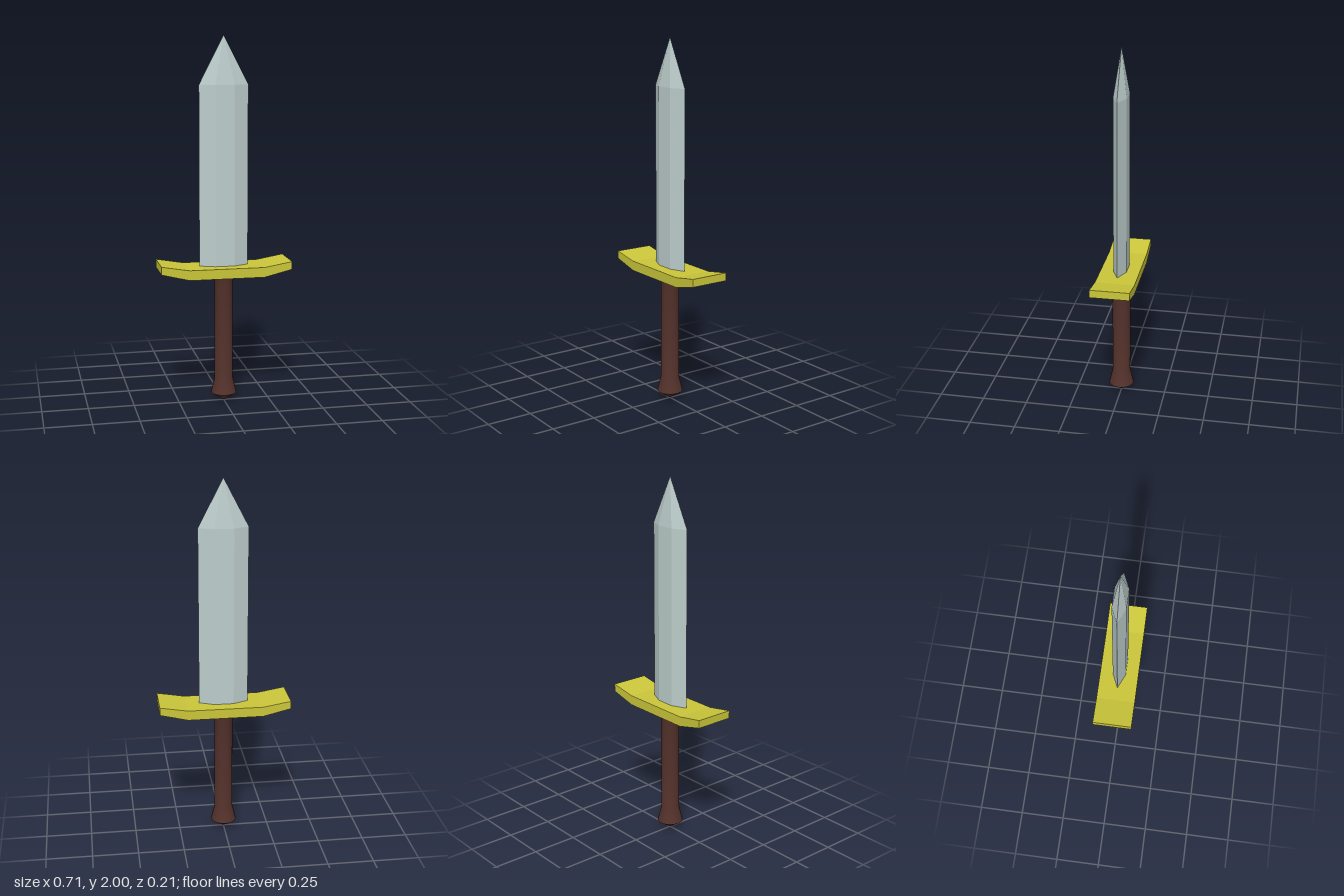
import * as THREE from 'three';
import { toCreasedNormals } from 'three/addons/utils/BufferGeometryUtils.js';

const steel = new THREE.MeshStandardMaterial({ color: 0xbccdcb, flatShading: true });
const brass = new THREE.MeshStandardMaterial({ color: 0xcac63a, flatShading: true });
const wood = new THREE.MeshStandardMaterial({ color: 0x55322c });

const points = (list) => list.map(([x, y]) => new THREE.Vector2(x, y));

function addPart(group, name, geometry, material) {
  const mesh = new THREE.Mesh(geometry, material);
  mesh.name = name;
  group.add(mesh);
}

// Six-sided lathe whose ring is remapped to a flat, bevelled cross-section
function bladeGeometry() {
  const geometry = new THREE.LatheGeometry(points([[1, 0.74], [1, 1.74], [0, 2]]), 6, Math.PI / 2);
  const p = geometry.attributes.position;
  for (let i = 0; i < p.count; i++) {
    const x = p.getX(i), z = p.getZ(i);
    if (Math.hypot(x, z) < 0.1) continue;
    const edge = Math.abs(x) > 0.75;
    p.setX(i, Math.sign(x) * (edge ? 0.134 : 0.052));
    p.setZ(i, edge ? 0 : Math.sign(z) * 0.036);
  }
  return geometry;
}

// Crossguard with upturned ends
function guardGeometry() {
  const outline = new THREE.Shape(points([
    [-0.357, 0.747], [-0.205, 0.71], [0.205, 0.71], [0.357, 0.747],
    [0.357, 0.79], [0.205, 0.764], [-0.205, 0.764], [-0.357, 0.79],
  ]));
  const depth = 0.214;
  return new THREE.ExtrudeGeometry(outline, { depth, bevelEnabled: false }).translate(0, 0, -depth / 2);
}

// Handle flared at the collar and pommel, ending in a shallow point
function handleGeometry() {
  const profile = points([[0, 0], [0.07, 0.046], [0.05, 0.13], [0.05, 0.68], [0.061, 0.712], [0, 0.712]]);
  return toCreasedNormals(new THREE.LatheGeometry(profile, 20), 0.5);
}

export function createModel() {
  const sword = new THREE.Group();
  sword.name = 'sword';
  addPart(sword, 'blade', bladeGeometry(), steel);
  addPart(sword, 'crossguard', guardGeometry(), brass);
  addPart(sword, 'handle', handleGeometry(), wood);
  return sword;
}
